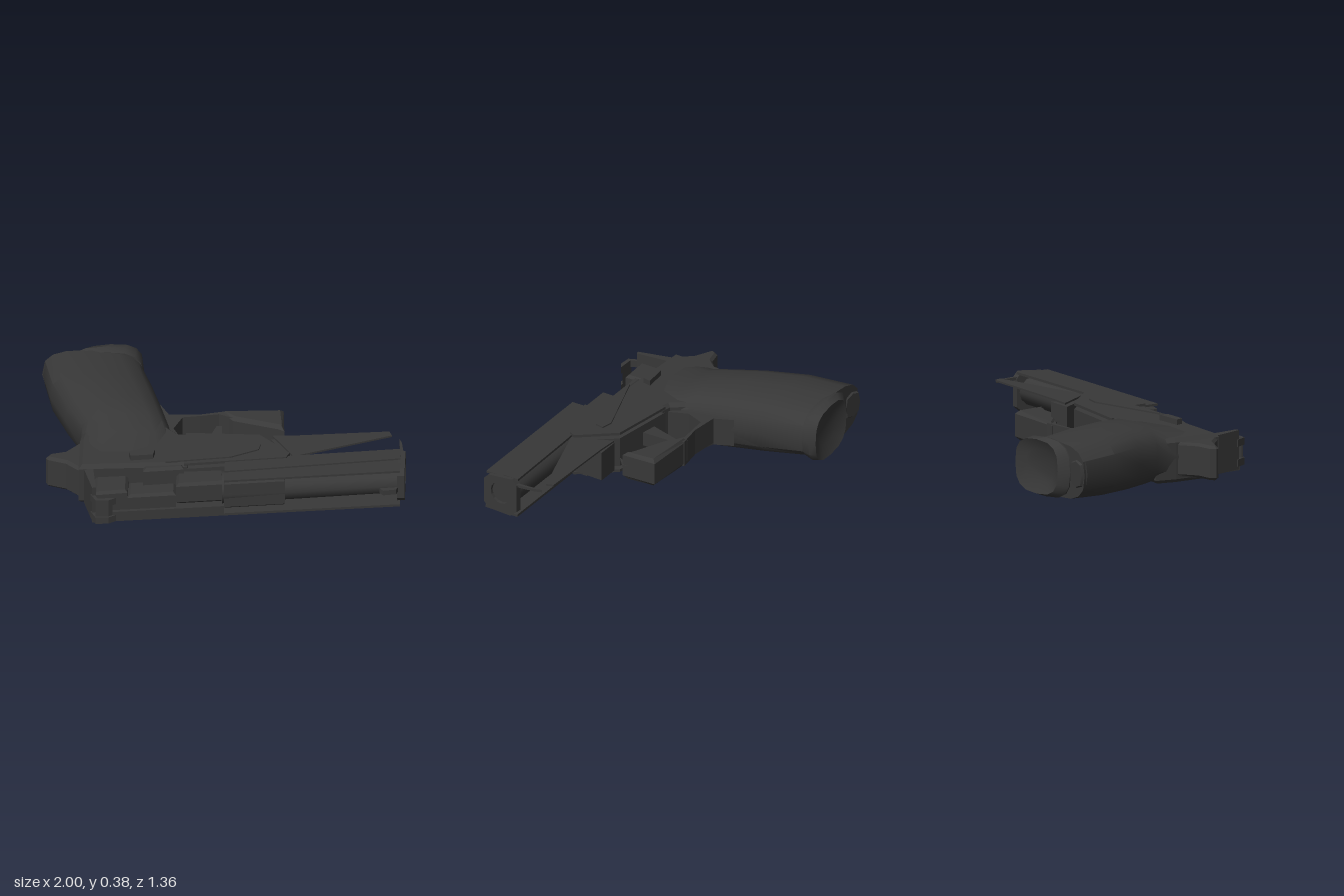
import * as THREE from 'three';
import { toCreasedNormals } from 'three/addons/utils/BufferGeometryUtils.js';

export function createModel() {
  const root = new THREE.Group();
  const metal = new THREE.MeshStandardMaterial({ color: 0x383838, side: THREE.DoubleSide });
  metal.name = 'charcoal';

  const add = (name, geo) => {
    const mesh = new THREE.Mesh(geo, metal);
    mesh.name = name;
    root.add(mesh);
    return mesh;
  };

  // The body lies on its side and rises slightly towards the muzzle
  const tilt = (geo) => {
    const p = geo.attributes.position;
    for (let i = 0; i < p.count; i++) p.setY(i, p.getY(i) + 0.2 + 0.04 * p.getX(i));
    geo.computeVertexNormals();
    return geo;
  };

  const outline = (pts) => new THREE.Shape(pts.map(([x, y]) => new THREE.Vector2(x, y)));

  // Outline in x and z, extruded from height a to b about the tilted middle plane
  const prism = (name, pts, a, b, bevel = 0) => {
    const geo = new THREE.ExtrudeGeometry(outline(pts), {
      depth: b - a - 2 * bevel, bevelEnabled: bevel > 0, bevelSize: bevel,
      bevelThickness: bevel, bevelOffset: -bevel, bevelSegments: 1,
    });
    geo.rotateX(Math.PI / 2).translate(0, b - bevel, 0);
    return add(name, tilt(geo));
  };

  // Rounded rings [z at left, z at right, x left, x right, y low, y high], capped at both ends
  const loft = (name, rings, n = 16, power = 0.7) => {
    const pos = [], idx = [];
    const round = (v) => Math.sign(v) * Math.abs(v) ** power;
    for (const [zl, zr, xl, xr, yl, yh] of rings) {
      for (let i = 0; i < n; i++) {
        const t = (i / n) * Math.PI * 2;
        const u = round(Math.cos(t)), v = round(Math.sin(t));
        pos.push((xl + xr) / 2 + u * (xr - xl) / 2, (yl + yh) / 2 + v * (yh - yl) / 2,
          zl + (zr - zl) * (u + 1) / 2);
      }
    }
    for (let r = 0; r < rings.length - 1; r++) {
      for (let i = 0; i < n; i++) {
        const a = r * n + i, b = r * n + (i + 1) % n;
        idx.push(a, b, b + n, a, b + n, a + n);
      }
    }
    const last = (rings.length - 1) * n;
    for (let i = 1; i < n - 1; i++) {
      idx.push(0, i + 1, i, last, last + i, last + i + 1);
    }
    const geo = new THREE.BufferGeometry();
    geo.setAttribute('position', new THREE.Float32BufferAttribute(pos, 3));
    geo.setIndex(idx);
    return add(name, toCreasedNormals(geo, 0.6));
  };

  // Grip and its base plate
  loft('grip', [
    [-0.6, -0.6, -1.0, -0.46, 0.055, 0.36],
    [-0.36, -0.36, -0.95, -0.385, 0.038, 0.375],
    [-0.14, -0.14, -0.86, -0.325, 0.03, 0.375],
    [0.03, 0.03, -0.78, -0.28, 0.03, 0.365],
    [0.15, 0.15, -0.77, -0.24, 0.05, 0.33],
    [0.3, 0.3, -0.8, -0.2, 0.06, 0.3],
  ]);
  loft('gripBase', [
    [-0.57, -0.59, -0.87, -0.455, 0.06, 0.36],
    [-0.605, -0.635, -0.87, -0.45, 0.045, 0.372],
    [-0.645, -0.68, -0.81, -0.455, 0.06, 0.36],
    [-0.62, -0.65, -0.74, -0.52, 0.12, 0.3],
  ]);
  loft('gripHeel', [
    [-0.58, -0.58, -1.0, -0.84, 0.12, 0.3],
    [-0.615, -0.605, -0.99, -0.87, 0.14, 0.28],
  ], 8);

  // Frame: tail, rear body, and a narrower core between two side walls in front
  prism('frameTail', [
    [-0.95, 0.3], [-0.93, 0.27], [-0.85, 0.25], [-0.74, 0.14], [-0.74, 0.43], [-0.77, 0.43],
    [-0.84, 0.36], [-0.94, 0.32],
  ], -0.09, 0.1, 0.015);
  prism('frameRear', [
    [-0.77, 0.16], [-0.75, 0.04], [-0.3, 0.05], [-0.24, 0.12], [-0.18, 0.13],
    [-0.18, 0.43], [-0.77, 0.44],
  ], -0.122, 0.12, 0.02);
  const front = [[-0.2, 0.125], [0.2, 0.155], [0.37, 0.34], [0.35, 0.38], [-0.2, 0.43]];
  prism('frameCore', front, -0.085, 0.085);
  prism('frameUpperWall', front, 0.105, 0.12);
  prism('frameLowerWall', front, -0.122, -0.107);
  prism('dustCover', [[0.26, 0.15], [0.4, 0.14], [0.39, 0.35], [0.37, 0.35]], -0.085, 0.085);
  prism('dustCoverSide', [[0.27, 0.145], [0.4, 0.145], [0.9, 0.12], [0.915, 0.16], [0.39, 0.35]], 0.095, 0.105);

  // Trigger and guard
  prism('guardFront', [[-0.02, -0.14], [0.32, -0.15], [0.33, 0.05], [0.3, 0.03], [0.05, -0.06]],
    -0.075, 0.09, 0.02);
  prism('guardTip', [[0.325, -0.02], [0.335, 0.05], [0.27, 0.11], [0.3, 0.05]], 0.0, 0.012);
  prism('guardStrip', [[-0.3, -0.12], [-0.13, -0.115], [0.02, -0.145], [0.08, -0.06], [-0.03, -0.115],
    [-0.13, -0.1], [-0.3, -0.08]], -0.07, 0.08);
  prism('guardRear', [
    [-0.35, -0.22], [-0.3, -0.12], [-0.22, -0.1], [-0.27, 0.02], [-0.22, 0.13], [-0.3, 0.12],
  ], -0.08, 0.08);
  prism('trigger', [[-0.04, -0.06], [-0.01, -0.06], [-0.005, 0.14], [-0.1, 0.13]], -0.04, 0.04);

  // Barrel inside the slide
  const barrel = new THREE.CylinderGeometry(0.08, 0.085, 0.97, 12);
  barrel.rotateZ(-Math.PI / 2).rotateY(0.068).scale(1, 1, 1.15).translate(0.49, 0, 0.445);
  add('barrel', toCreasedNormals(tilt(barrel), 0.6));

  // Muzzle ring with chamfered corners and a bore
  const ring = outline([
    [-0.51, -0.07], [-0.48, -0.105], [-0.34, -0.112], [-0.3, -0.08],
    [-0.3, 0.08], [-0.33, 0.113], [-0.48, 0.1], [-0.51, 0.07],
  ]);
  ring.holes.push(new THREE.Path().absarc(-0.4, 0.01, 0.065, 0, Math.PI * 2, true));
  const muzzle = new THREE.ExtrudeGeometry(ring, { depth: 0.04, bevelEnabled: false, curveSegments: 8 });
  muzzle.rotateY(Math.PI / 2).translate(0.955, 0, 0);
  add('muzzle', tilt(muzzle));

  // Slide walls and rear frame; the upper wall leans in towards its open edge
  prism('slideUpperWall', [[0.02, 0.41], [0.4, 0.355], [0.97, 0.305], [0.97, 0.4], [0.02, 0.5]], 0.1, 0.113);
  prism('slideUpperEdge', [[0.02, 0.5], [0.97, 0.4], [0.97, 0.51], [0.02, 0.58]], 0.092, 0.104);
  prism('slideBreech', [[0.02, 0.42], [0.35, 0.37], [0.35, 0.55], [0.02, 0.575]], -0.08, 0.085, 0.01);
  prism('slideLowerWall', [[-0.7, 0.43], [0.97, 0.31], [0.97, 0.515], [-0.69, 0.625]], -0.122, -0.108);
  prism('muzzleTip', [[0.955, 0.16], [0.97, 0.2], [0.985, 0.31], [0.965, 0.31]], 0.07, 0.085);
  prism('slideRear', [[-0.74, 0.44], [-0.69, 0.44], [-0.67, 0.62], [-0.69, 0.625]], -0.115, 0.1);
  prism('slideRearRail', [[-0.69, 0.61], [0.02, 0.565], [0.02, 0.58], [-0.69, 0.63]], -0.12, -0.06);

  // Broken inner works behind the breech
  for (const [x0, x1, z0, z1, lo, hi] of [
    [-0.68, -0.5, 0.43, 0.6, -0.11, 0.05],
    [-0.5, -0.24, 0.43, 0.57, -0.1, 0.01],
    [-0.24, 0.03, 0.42, 0.56, -0.06, 0.07],
    [-0.42, -0.2, 0.42, 0.47, -0.02, 0.11],
  ]) prism('innerBlock', [[x0, z0], [x1, z0 - 0.01], [x1, z1 - 0.02], [x0, z1]], lo, hi, 0.015);

  // Rear sight as two posts on a thin bridge, and the front sight
  for (const [lo, hi] of [[-0.1, -0.06], [0.01, 0.05]]) {
    prism('rearSightPost', [[-0.7, 0.61], [-0.68, 0.61], [-0.66, 0.655], [-0.56, 0.65], [-0.6, 0.675], [-0.67, 0.675]], lo, hi);
  }
  prism('rearSightBridge', [[-0.67, 0.655], [-0.58, 0.652], [-0.6, 0.665], [-0.67, 0.665]], -0.06, 0.01);
  prism('frontSight', [[0.86, 0.52], [0.96, 0.51], [0.95, 0.535], [0.88, 0.545]], -0.03, 0.0);

  // Levers on both sides of the frame
  prism('sideLever', [[-0.3, 0.42], [0.14, 0.25], [0.21, 0.26], [0.2, 0.31], [0.05, 0.38]], 0.118, 0.128);
  prism('upperCatch', [[-0.5, 0.35], [-0.36, 0.33], [-0.37, 0.38], [-0.49, 0.39]], 0.11, 0.15);
  prism('lowerCatch', [[-0.49, 0.34], [-0.37, 0.32], [-0.37, 0.36], [-0.49, 0.38]], -0.182, -0.165);
  prism('lowerCatchStem', [[-0.45, 0.34], [-0.41, 0.33], [-0.41, 0.36], [-0.45, 0.37]], -0.165, -0.12);
  prism('lowerLever', [[0.0, 0.36], [0.3, 0.3], [0.3, 0.35], [0.0, 0.4]], -0.15, -0.138);

  return root;
}
